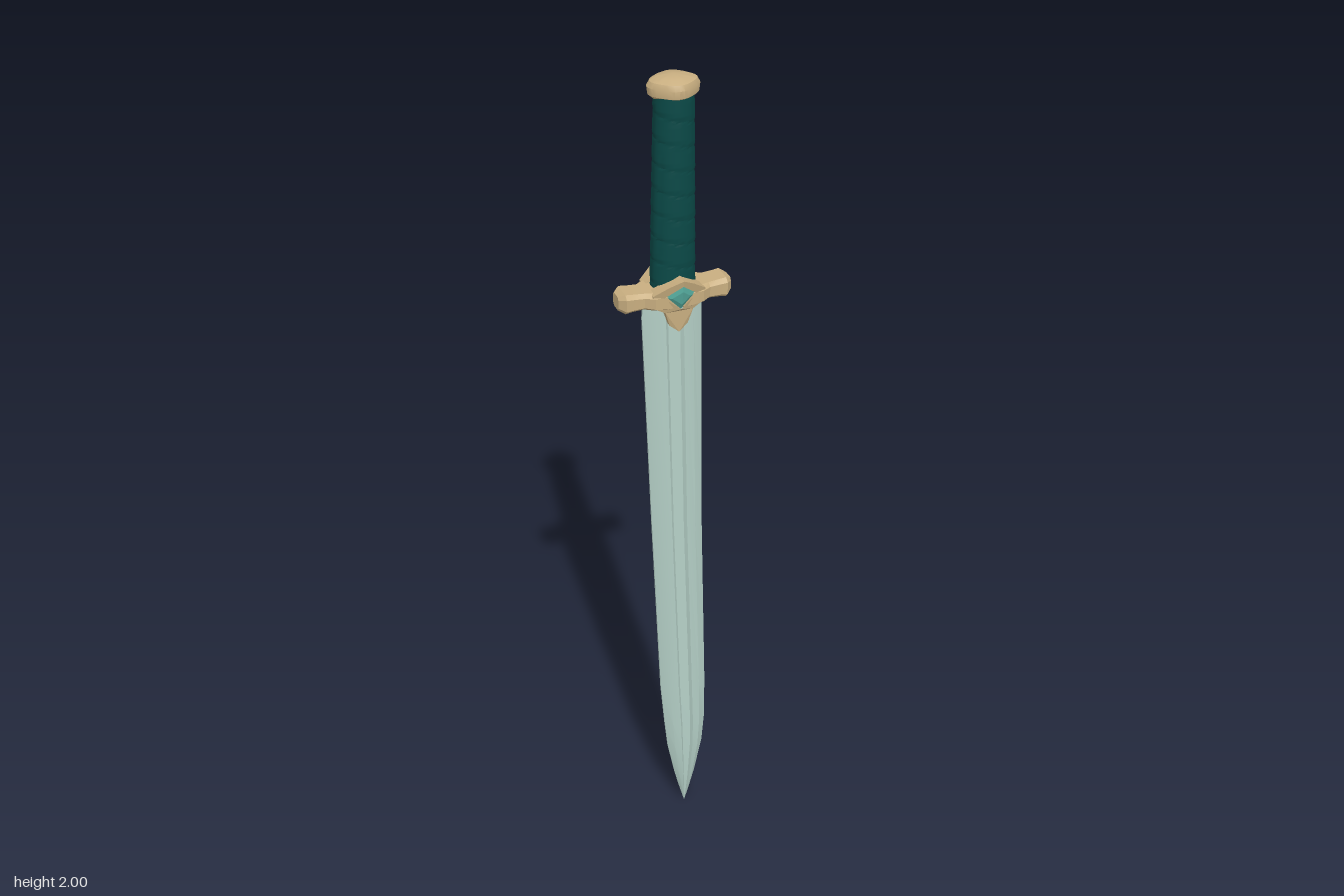
import * as THREE from 'three';
import { toCreasedNormals, mergeVertices } from 'three/addons/utils/BufferGeometryUtils.js';

const mat = (name, color, extra) => Object.assign(new THREE.MeshStandardMaterial({ color }), { name }, extra);

// Closed skin through rings of [x, y, z] points, turned outwards.
function loft(rings, crease = 0.5) {
  const n = rings[0].length, idx = [];
  for (let r = 0; r < rings.length - 1; r++)
    for (let i = 0; i < n; i++) {
      const a = r * n + i, b = r * n + (i + 1) % n;
      idx.push(a, b, a + n, b, b + n, a + n);
    }
  const end = (rings.length - 1) * n;
  for (let i = 1; i < n - 1; i++) idx.push(0, i + 1, i, end, end + i, end + i + 1);
  const pts = rings.flat().map(p => new THREE.Vector3(...p));
  let volume = 0;
  for (let i = 0; i < idx.length; i += 3)
    volume += pts[idx[i]].dot(pts[idx[i + 1]].clone().cross(pts[idx[i + 2]]));
  if (volume < 0) idx.reverse();
  const g = new THREE.BufferGeometry().setFromPoints(pts);
  g.setIndex(idx);
  return toCreasedNormals(g, crease);
}

// Move every vertex by a rule.
function reshape(g, rule, crease = 0.6) {
  const p = g.attributes.position, v = new THREE.Vector3();
  for (let i = 0; i < p.count; i++) {
    rule(v.fromBufferAttribute(p, i));
    p.setXYZ(i, v.x, v.y, v.z);
  }
  g.deleteAttribute('normal');
  g.deleteAttribute('uv');
  return toCreasedNormals(mergeVertices(g, 1e-5), crease);
}

export function createModel() {
  const sword = new THREE.Group();
  sword.name = 'sword';
  const steel = mat('pale steel', 0xb5d0c7);
  const gold = mat('dull gold', 0xc8ae80);
  const wrap = mat('dark green leather', 0x0a4846);
  const teal = mat('teal gem', 0x55ab9e);
  const add = (parent, name, geometry, material) => {
    const m = new THREE.Mesh(geometry, material);
    m.name = name;
    parent.add(m);
    return m;
  };

  // Blade: bevelled edges and a shallow central fuller; rows are y, centre x, half width, half thickness
  const rows = [
    [1.51, 0, 0.066, 0.026], [1.45, -0.002, 0.068, 0.026], [0.9, 0.01, 0.061, 0.026],
    [0.4, 0.026, 0.057, 0.026], [0.28, 0.031, 0.052, 0.026], [0.2, 0.032, 0.045, 0.025],
    [0.1, 0.032, 0.026, 0.018], [0.05, 0.032, 0.014, 0.011], [0, 0.032, 0.001, 0.001],
  ];
  add(sword, 'blade', loft(rows.map(([y, cx, w, t]) => {
    const half = [[1, 0.12], [0.66, 0.7], [0.3, 1], [0.2, 0.72], [-0.2, 0.72], [-0.3, 1], [-0.66, 0.7], [-1, 0.12]];
    const front = half.map(([u, k]) => [cx + u * w, y, k * t]);
    const back = half.map(([u, k]) => [cx - u * w, y, -k * t]);
    return [...front, ...back];
  }), 0.3), steel);

  // Grip: a tapered oval core with a spiral of overlapping leather turns
  const h = 0.44, turn = 0.055;
  add(sword, 'wrappedGrip', reshape(new THREE.CylinderGeometry(1, 1, h, 32, 96), v => {
    const t = v.y / h + 0.5, a = Math.atan2(v.x, v.z);
    const s = v.y / turn + a / (Math.PI * 2) + 20;
    const f = s - Math.floor(s);
    const swell = 0.93 + 0.07 * Math.min(1, f * 6) * (1 - 0.45 * f);
    v.x = v.x * swell * (0.051 - 0.007 * t) + 0.003 * t;
    v.z *= swell * 0.042;
    v.y += 1.745;
  }, 0.5), wrap);

  // Pommel: a low cap with a softly four-cornered outline
  const cap = [[0, 0], [0.044, 0], [0.053, 0.008], [0.055, 0.025], [0.049, 0.036], [0.033, 0.043], [0, 0.047]];
  add(sword, 'pommel', reshape(
    new THREE.LatheGeometry(cap.map(p => new THREE.Vector2(...p)), 32),
    v => {
      const k = 1 + 0.05 * Math.cos(4 * Math.atan2(v.z, v.x));
      v.set(v.x * k * 0.98 + 0.003, v.y + 1.953, v.z * k * 0.84 - 0.004);
    }), gold);

  // Guard: turned a little against the blade
  const guard = new THREE.Group();
  guard.name = 'guard';
  guard.rotation.y = 0.07;
  sword.add(guard);

  // Crossbar: chamfered sections along x; rows are x, half height, half depth
  const side = [[0.03, 0.024, 0.05], [0.055, 0.021, 0.046], [0.075, 0.019, 0.033],
    [0.1, 0.021, 0.032], [0.116, 0.023, 0.033], [0.13, 0.016, 0.017]];
  const bar = [...side.map(([x, ...r]) => [-x, ...r]).reverse(), ...side];
  add(guard, 'crossbar', loft(bar.map(([x, a, b]) =>
    [[1, 0.7], [0.6, 1], [-0.6, 1], [-1, 0.7], [-1, -0.7], [-0.6, -1], [0.6, -1], [1, -0.7]]
      .map(([p, q]) => [x, 1.507 + p * a, q * b])), 0.4), gold);

  // Front and back ornaments: a flared diamond frame with a tongue over the blade, holding a gem
  const lean = (x, y) => 0.042 + (y - 1.43) * 0.21 - Math.abs(x) * 0.32;
  const right = [[0.028, 1.548], [0.06, 1.525], [0.062, 1.494], [0.032, 1.48], [0.021, 1.445]];
  const outline = [[0, 1.564], ...right, [0, 1.428], ...right.map(([x, y]) => [-x, y]).reverse()];
  const diamond = [[0, 1.55], [0.038, 1.519], [0, 1.49], [-0.038, 1.519]];
  const toPoints = list => list.map(p => new THREE.Vector2(...p));
  for (const [name, angle] of [['front', 0], ['back', Math.PI]]) {
    const ornament = new THREE.Group();
    ornament.name = name + 'Ornament';
    ornament.rotation.y = angle;
    guard.add(ornament);

    const shape = new THREE.Shape(toPoints(outline));
    shape.holes.push(new THREE.Path(toPoints(diamond)));
    add(ornament, name + 'Frame', reshape(
      new THREE.ExtrudeGeometry(shape, { depth: 0.03, bevelEnabled: false }),
      v => { v.z += lean(v.x, v.y) - 0.03; }, 0.3), gold);

    // Gem: faceted diamond with a small flat table
    const ring = (k, lift) => diamond.map(([x, y]) => {
      const px = x * k, py = 1.519 + (y - 1.519) * k;
      return [px, py, lean(px, py) + lift];
    });
    add(ornament, name + 'Gem', loft([ring(1.02, -0.014), ring(1, -0.004), ring(0.55, 0.001)], 0.2), teal);
  }
  return sword;
}
